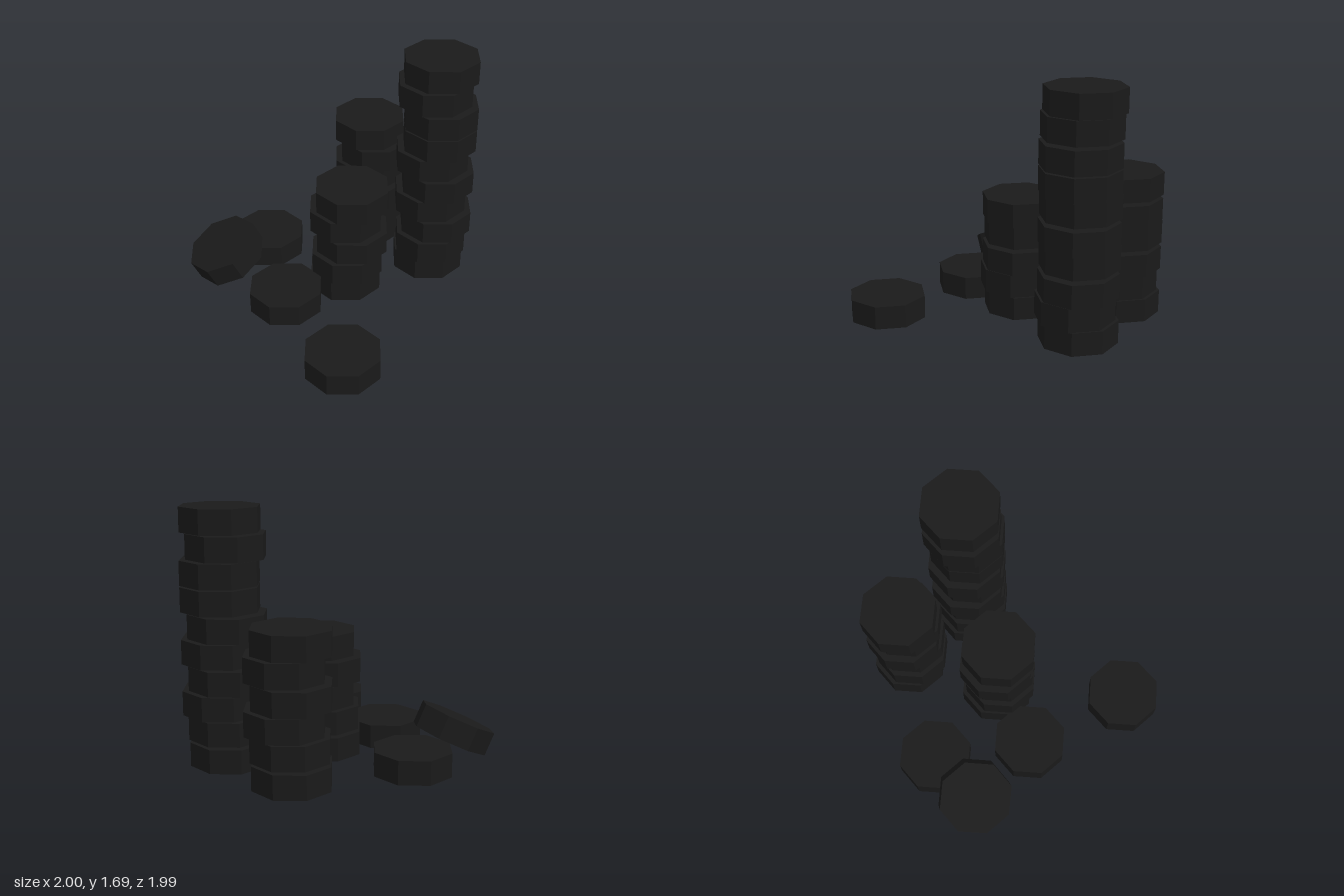
import * as THREE from 'three';

const R = 0.265, H = 0.16, STEP = 0.17;

export function createModel() {
  const model = new THREE.Group();
  model.name = 'discPiles';
  const material = new THREE.MeshStandardMaterial({ color: 0x1a1a1a, flatShading: true });
  const discGeometry = new THREE.CylinderGeometry(R, R, H, 8);

  function addDisc(parent, name, x, y, z) {
    const disc = new THREE.Mesh(discGeometry, material);
    disc.name = name;
    disc.position.set(x, y, z);
    parent.add(disc);
    return disc;
  }

  // Small sideways shifts that make the stacks look hand-piled
  const shifts = {
    a: [0, 0],
    b: [0.034, 0.033],
    c: [0, 0.029],
    d: [0.033, 0.007],
  };

  // One letter per disc, from the bottom up
  function addStack(name, x, z, pattern) {
    const stack = new THREE.Group();
    stack.name = name;
    [...pattern].forEach((key, i) => {
      const [dx, dz] = shifts[key];
      addDisc(stack, `${name}Disc${i + 1}`, x + dx, H / 2 + i * STEP, z + dz);
    });
    model.add(stack);
  }

  addStack('tallStack', 0.701, -0.133, 'acbababbad');
  addStack('middleStack', 0.042, -0.133, 'acbab');
  addStack('backStack', 0.459, -0.685, 'acbaba');

  // Loose discs on the ground
  addDisc(model, 'looseDiscNear', -0.33, H / 2, 0.725);
  addDisc(model, 'looseDiscMiddle', -0.45, H / 2, -0.045);
  addDisc(model, 'looseDiscBack', -0.34, H / 2, -0.73);

  // Disc leaning on the back loose one
  const leaning = addDisc(model, 'leaningDisc', -0.727, 0.192, -0.55);
  leaning.rotation.z = THREE.MathUtils.degToRad(25);

  return model;
}
